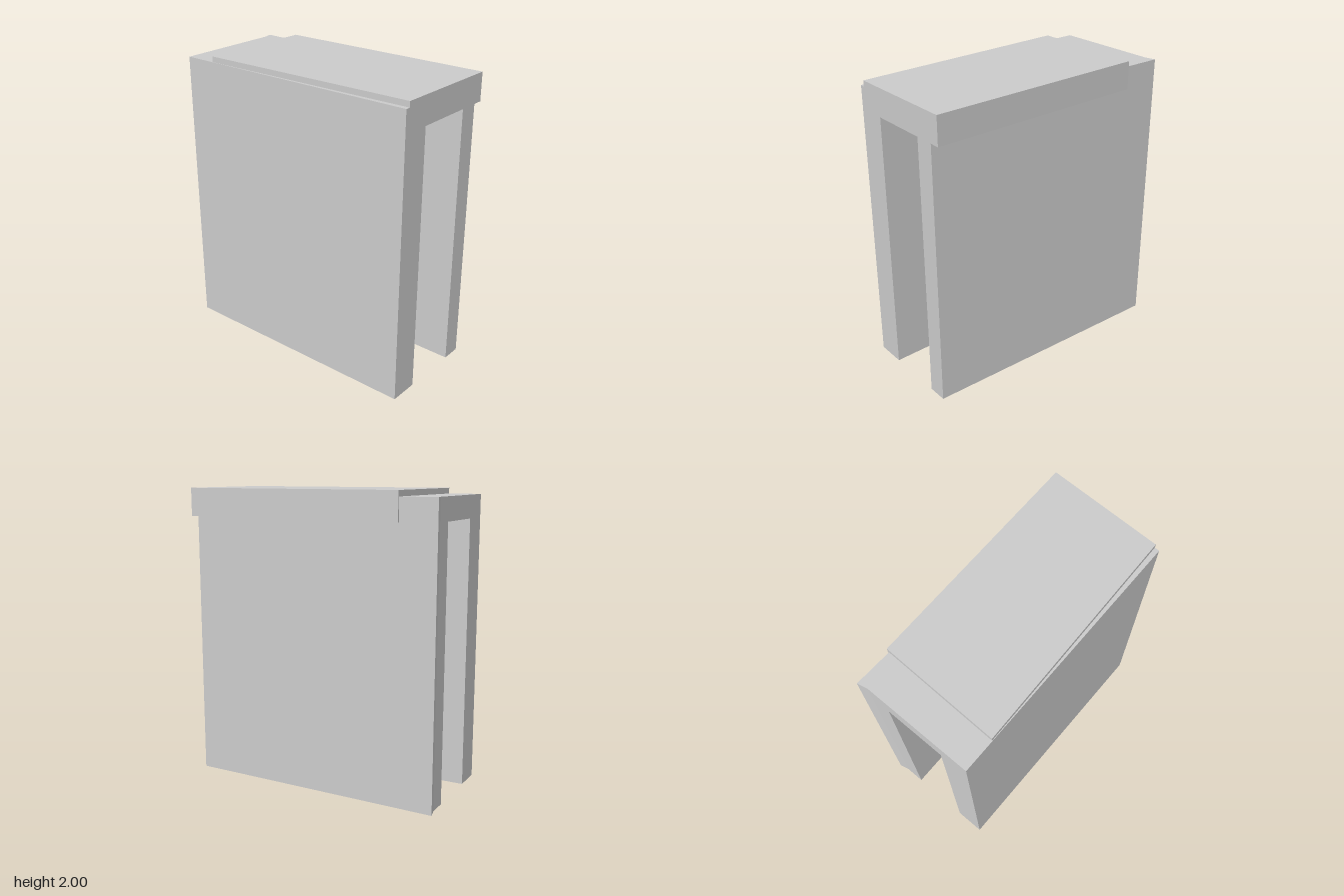
import * as THREE from 'three';

const material = new THREE.MeshStandardMaterial({ color: 0xcccccc, flatShading: true });

// Upright prism from a floor plan of [x, z] corners
function prism(name, plan, bottom, top) {
  const shape = new THREE.Shape(plan.map(([x, z]) => new THREE.Vector2(x, -z)));
  const geometry = new THREE.ExtrudeGeometry(shape, { depth: top - bottom, bevelEnabled: false });
  geometry.rotateX(-Math.PI / 2).translate(0, bottom, 0);
  const mesh = new THREE.Mesh(geometry, material);
  mesh.name = name;
  return mesh;
}

// The front is very slightly skewed
const frontZ = (x) => 0.889 + 0.01 * x;

export function createModel() {
  const group = new THREE.Group();
  group.name = 'archBlock';

  const left = -0.403, right = 0.403, wallFront = 0.333, back = -0.877;
  const bodyTop = 1.962, ceiling = 1.81;

  // Arch: two walls joined by a lintel, open from front to back
  const profile = new THREE.Shape([
    [left, 0], [-0.202, 0], [-0.202, ceiling], [0.2, ceiling],
    [0.2, 0], [wallFront, 0], [wallFront, bodyTop], [left, bodyTop],
  ].map(([x, y]) => new THREE.Vector2(x, y)));
  const archGeometry = new THREE.ExtrudeGeometry(profile, { depth: 1, bevelEnabled: false });
  const p = archGeometry.attributes.position;
  for (let i = 0; i < p.count; i++) p.setZ(i, p.getZ(i) > 0.5 ? frontZ(p.getX(i)) : back);
  archGeometry.computeVertexNormals();
  const arch = new THREE.Mesh(archGeometry, material);
  arch.name = 'arch';
  group.add(arch);

  // Wedge that thickens one wall towards the back corner
  group.add(prism('wallWedge', [
    [wallFront, frontZ(wallFront)], [right, -0.893], [wallFront, back],
  ], 0, bodyTop));

  // Cap slab, set slightly askew and overhanging the tapered wall
  group.add(prism('capSlab', [
    [-0.37, frontZ(-0.37)], [right, frontZ(right)], [right, -0.637], [-0.4, -0.655],
  ], ceiling, 2));

  return group;
}
